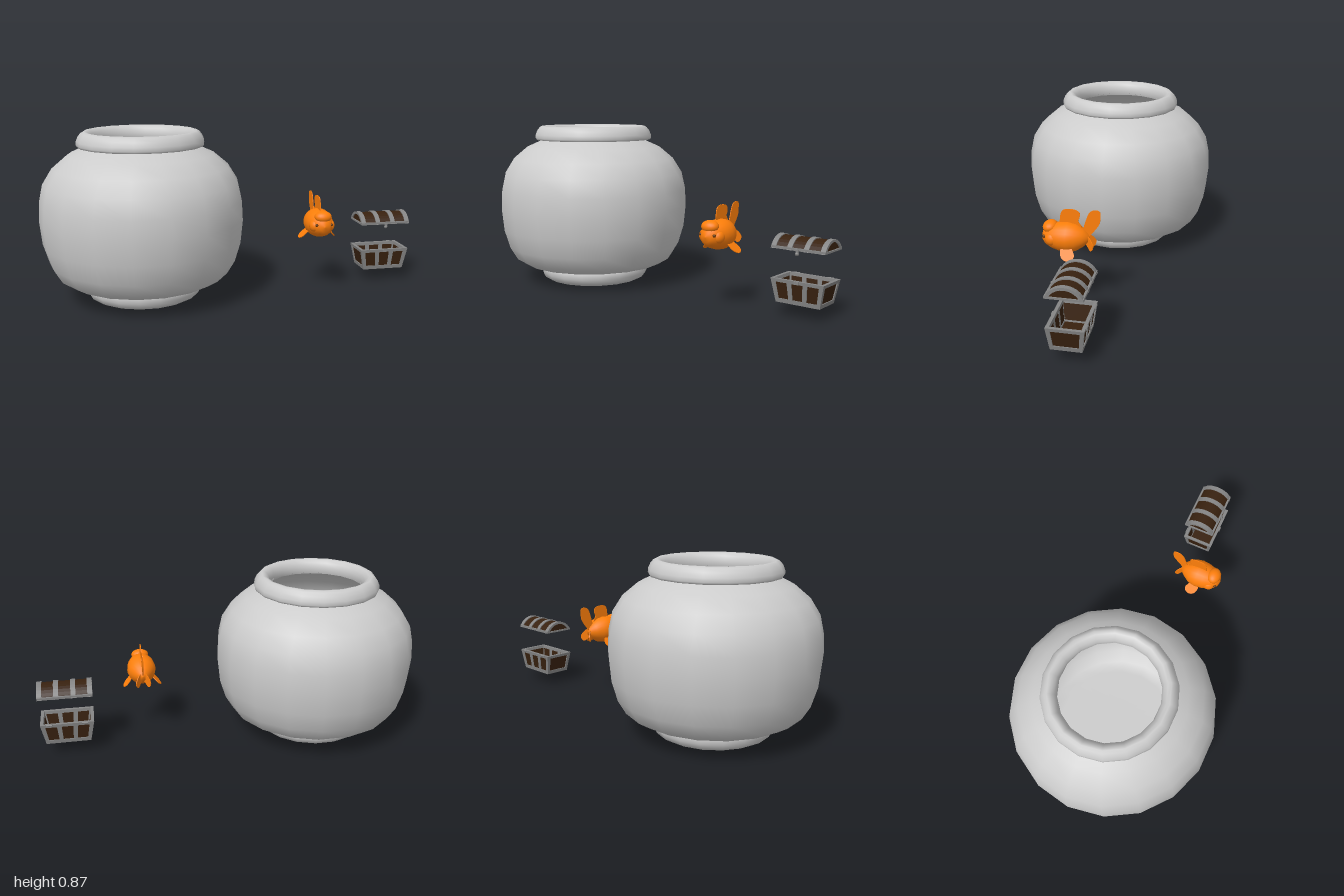
import * as THREE from 'three';

const material = (color) => new THREE.MeshStandardMaterial({ color, side: THREE.DoubleSide });
const GREY = material(0xcccccc), IRON = material(0x858585);
const WOOD = material(0x38210f), ORANGE = material(0xff7f0a), DARK = material(0x6b3a0c);

function add(parent, name, geometry, mat, x = 0, y = 0, z = 0) {
  const mesh = new THREE.Mesh(geometry, mat);
  mesh.name = name;
  mesh.position.set(x, y, z);
  parent.add(mesh);
  return mesh;
}

function group(parent, name, x = 0, y = 0, z = 0) {
  const g = new THREE.Group();
  g.name = name;
  g.position.set(x, y, z);
  parent.add(g);
  return g;
}

// 18-sided turning, corners on the x axis
const lathe = (pts) => new THREE.LatheGeometry(pts.map(([r, y]) => new THREE.Vector2(r, y)), 18, Math.PI / 2);

// Slab with an outline given as [-z, y], thickness centred on x = 0
function slab(shape, thickness) {
  const g = new THREE.ExtrudeGeometry(shape, { depth: thickness, bevelEnabled: false, curveSegments: 6 });
  return g.translate(0, 0, -thickness / 2).rotateY(Math.PI / 2);
}

function finGeometry(points) {
  const curve = new THREE.SplineCurve([...points, points[0]].map(([x, y]) => new THREE.Vector2(x, y)));
  return slab(new THREE.Shape(curve.getPoints(36)), 0.004);
}

function buildBowl(root) {
  const bowl = group(root, 'bowl', -0.475, 0, 0);
  add(bowl, 'foot', lathe([[0, 0.003], [0.17, 0.003], [0.235, 0], [0.265, 0.006], [0.29, 0.02],
    [0.302, 0.045], [0.304, 0.07], [0.296, 0.085], [0.27, 0.09]]), GREY);
  const outer = [[0.28, 0.085], [0.33, 0.088], [0.39, 0.1], [0.445, 0.133], [0.485, 0.2], [0.515, 0.3],
    [0.527, 0.42], [0.522, 0.52], [0.502, 0.61], [0.452, 0.69], [0.375, 0.755], [0.29, 0.793], [0.26, 0.805]];
  add(bowl, 'outerWall', lathe(outer), GREY);
  // Inner wall follows the outer one, then closes into the floor
  const inner = outer.slice(1).reverse().map(([r, y]) => [r - 0.014, y + (y < 0.2 ? 0.012 : 0)]);
  add(bowl, 'innerWall', lathe([...inner, [0, 0.1]]), GREY);
  add(bowl, 'rim', lathe([[0.25, 0.796], [0.322, 0.796], [0.328, 0.806], [0.326, 0.825], [0.316, 0.848],
    [0.302, 0.865], [0.288, 0.873], [0.272, 0.87], [0.255, 0.855], [0.246, 0.832], [0.246, 0.81], [0.25, 0.796]]), GREY);
}

function buildFish(root) {
  const fish = group(root, 'fish', 0.455, 0, 0);
  const ball = (name, r, x, y, z, mat = ORANGE) =>
    add(fish, name, new THREE.SphereGeometry(1, 20, 14).scale(...r), mat, x, y, z);

  // Body turned around the z axis, tail end first
  const profile = [[0, -0.025], [0.022, -0.02], [0.045, 0.005], [0.068, 0.04], [0.076, 0.08], [0.072, 0.12],
    [0.06, 0.16], [0.044, 0.188], [0.026, 0.203], [0, 0.209]].map(([r, y]) => new THREE.Vector2(r, y));
  add(fish, 'body', new THREE.LatheGeometry(profile, 24).rotateX(Math.PI / 2), ORANGE, 0, 0.367, 0);
  ball('headCap', [0.046, 0.03, 0.037], 0, 0.415, 0.168).rotation.x = 0.2;
  for (const s of [-1, 1]) {
    ball('cheek', [0.03, 0.034, 0.036], s * 0.038, 0.365, 0.15);
    ball('eye', [0.008, 0.008, 0.008], s * 0.04, 0.376, 0.19, DARK);
  }

  add(fish, 'dorsalFin', finGeometry([[-0.125, 0.42], [-0.12, 0.455], [-0.113, 0.492], [-0.09, 0.509], [-0.045, 0.508],
    [-0.022, 0.492], [-0.024, 0.468], [-0.03, 0.45], [-0.015, 0.42], [-0.06, 0.4]]), ORANGE);
  add(fish, 'upperTail', finGeometry([[-0.015, 0.375], [-0.004, 0.42], [0.01, 0.465], [0.024, 0.498], [0.048, 0.513],
    [0.075, 0.508], [0.079, 0.485], [0.074, 0.445], [0.05, 0.408], [0.025, 0.378], [0.005, 0.35]]), ORANGE);

  const lowerTail = finGeometry([[-0.015, 0.37], [0.01, 0.385], [0.04, 0.372], [0.062, 0.345], [0.058, 0.322],
    [0.042, 0.312], [0.02, 0.33], [-0.005, 0.35]]);
  const pectoral = finGeometry([[-0.095, 0], [-0.105, -0.035], [-0.095, -0.07], [-0.07, -0.086], [-0.045, -0.08],
    [-0.033, -0.058], [-0.045, -0.03], [-0.065, 0]]);
  for (const s of [-1, 1]) {
    add(fish, 'lowerTail', lowerTail, ORANGE).rotation.y = -s * 0.65;
    add(fish, 'pectoralFin', pectoral, ORANGE, s * 0.042, 0.345, 0).rotation.z = s * 0.75;
  }
}

function buildChest(root) {
  const chest = group(root, 'treasureChest', 0.86, 0, -0.036);
  const BOTTOM = 0.068, TOP = 0.184;

  // Box that narrows toward the chest bottom
  function tapered(name, size, pos, mat) {
    const g = new THREE.BoxGeometry(...size).translate(...pos);
    const p = g.attributes.position;
    for (let i = 0; i < p.count; i++) {
      const s = 0.833 + 0.167 * (p.getY(i) - BOTTOM) / (TOP - BOTTOM);
      p.setX(i, p.getX(i) * s);
      p.setZ(i, p.getZ(i) * s);
    }
    g.computeVertexNormals();
    add(chest, name, g, mat);
  }

  // Wooden panels and floor
  const midY = (BOTTOM + TOP) / 2, h = TOP - BOTTOM;
  tapered('floorPanel', [0.25, 0.008, 0.15], [0, BOTTOM + 0.008, 0], WOOD);
  for (const s of [-1, 1]) {
    tapered('longPanel', [0.25, h - 0.008, 0.008], [0, midY, s * 0.077], WOOD);
    tapered('endPanel', [0.008, h - 0.008, 0.15], [s * 0.127, midY, 0], WOOD);
    // Iron rails around top and bottom
    for (const [y, t] of [[TOP - 0.008, 0.016], [BOTTOM + 0.01, 0.02]]) {
      tapered('longRail', [0.274, t, 0.016], [0, y, s * 0.079], IRON);
      tapered('endRail', [0.016, t, 0.174], [s * 0.129, y, 0], IRON);
    }
    // Iron straps on the long sides and corners
    for (const x of [-0.126, -0.042, 0.042, 0.126])
      tapered('strap', [Math.abs(x) > 0.1 ? 0.022 : 0.024, h - 0.001, 0.014], [x, midY, s * 0.079], IRON);
    for (const z of [-0.077, 0.077])
      tapered('cornerStrap', [0.014, h - 0.001, 0.02], [s * 0.13, midY, z], IRON);
    add(chest, 'hingePin', new THREE.CylinderGeometry(0.005, 0.005, 0.03, 8).rotateZ(Math.PI / 2), IRON, s * 0.09, 0.181, -0.087);
  }
  add(chest, 'lockPlate', new THREE.BoxGeometry(0.022, 0.014, 0.008), IRON, 0, 0.176, 0.088);

  // Arched lid: low circular arc over a flat base
  const lid = group(chest, 'lid', 0, 0.327, 0);
  function arc(w, rise, base) {
    const r = (w * w + rise * rise) / (2 * rise), a = Math.asin(w / r), pts = [];
    for (let i = 0; i <= 12; i++) {
      const t = a - (2 * a * i) / 12;
      pts.push(new THREE.Vector2(r * Math.sin(t), base + rise - r + r * Math.cos(t)));
    }
    return pts;
  }
  const hoop = (w, rise, thick) => new THREE.Shape([...arc(w, rise, 0), ...arc(w - thick, rise - thick * 0.8, 0).reverse()]);

  add(lid, 'lidShell', slab(hoop(0.082, 0.054, 0.01), 0.26), WOOD);
  const strap = slab(hoop(0.0875, 0.059, 0.016), 0.025);
  for (const x of [-0.1265, -0.043, 0.043, 0.1265]) add(lid, 'lidStrap', strap, IRON, x);
  const endPanel = slab(new THREE.Shape(arc(0.076, 0.048, 0)), 0.008);
  for (const s of [-1, 1]) {
    add(lid, 'lidEndPanel', endPanel, WOOD, s * 0.128);
    add(lid, 'lidEndRail', new THREE.BoxGeometry(0.016, 0.009, 0.16), IRON, s * 0.131, 0.0045, 0);
    add(lid, 'lidLongRail', new THREE.BoxGeometry(0.278, 0.012, 0.014), IRON, 0, 0.006, s * 0.079);
  }
  add(lid, 'latch', new THREE.BoxGeometry(0.014, 0.026, 0.008), IRON, 0, -0.006, 0.088);
  add(lid, 'latchKnob', new THREE.SphereGeometry(0.009, 10, 8), IRON, 0, -0.013, 0.088);
}

export function createModel() {
  const root = new THREE.Group();
  root.name = 'fishbowlSet';
  buildBowl(root);
  buildFish(root);
  buildChest(root);
  return root;
}
